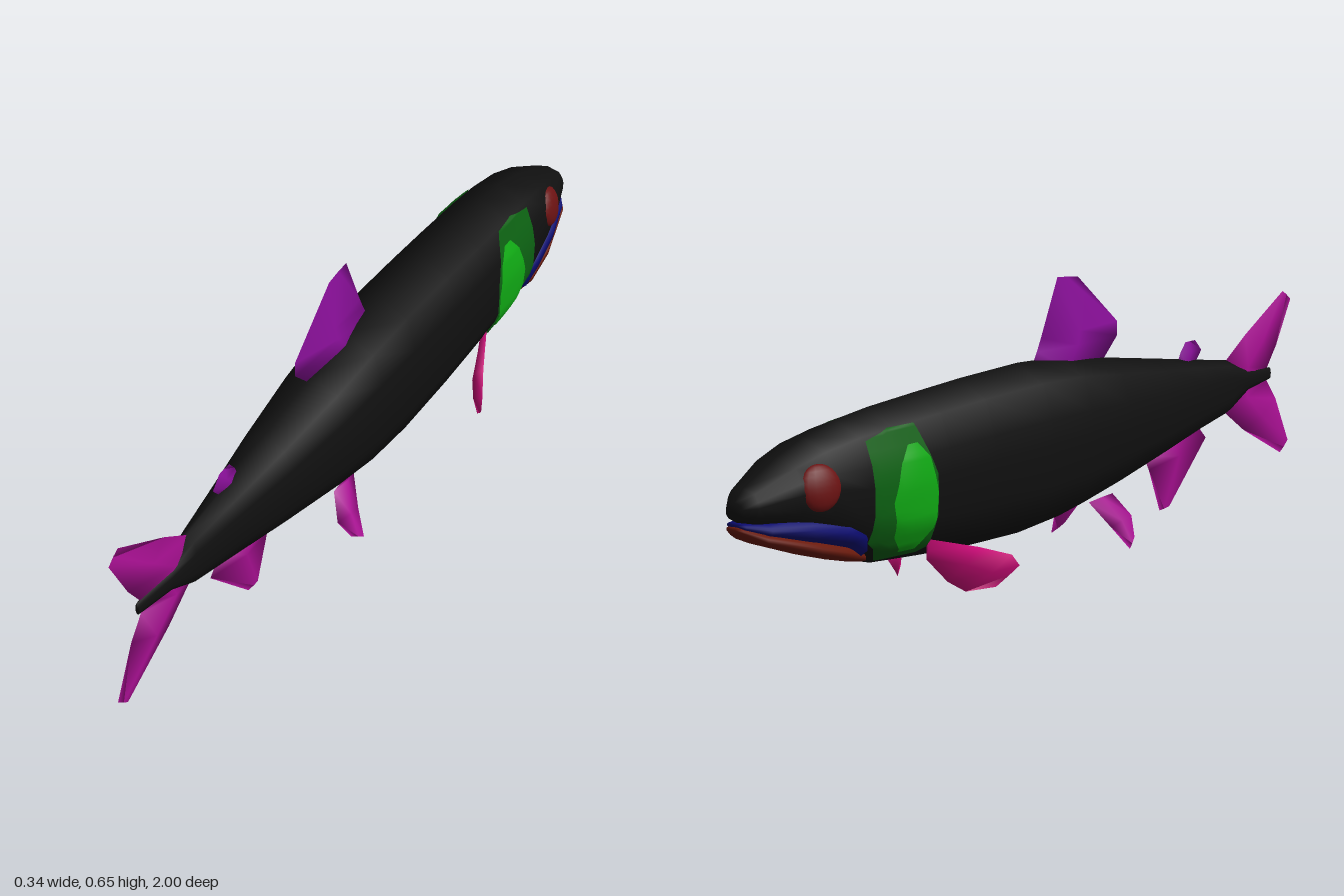
import * as THREE from 'three';

const V = (x, y, z) => new THREE.Vector3(x, y, z);
const lerp = THREE.MathUtils.lerp;

function material(name, color) {
  const m = new THREE.MeshStandardMaterial({ color, side: THREE.DoubleSide });
  m.name = name;
  return m;
}

// Half outline of a body cross-section, from top to bottom, in unit size
const HALF = [[0, 1], [0.71, 0.8], [0.93, 0.4], [1, 0.1], [0.98, -0.4], [0.7, -0.77], [0, -1]];
const RING = [...HALF, ...HALF.slice(1, -1).reverse().map(([x, y]) => [-x, y])];

// Body stations: z, top, bottom, half width
const BODY = [
  [-1, 0.325, 0.285, 0.025], [-0.975, 0.35, 0.272, 0.046], [-0.88, 0.397, 0.245, 0.078],
  [-0.8, 0.425, 0.205, 0.093], [-0.7, 0.447, 0.145, 0.101], [-0.6, 0.457, 0.115, 0.105],
  [-0.45, 0.465, 0.1, 0.107], [-0.3, 0.472, 0.087, 0.107], [-0.1, 0.476, 0.08, 0.107],
  [0.05, 0.467, 0.09, 0.104], [0.2, 0.443, 0.12, 0.096], [0.4, 0.41, 0.16, 0.073],
  [0.58, 0.38, 0.195, 0.046], [0.72, 0.357, 0.222, 0.026], [0.8, 0.325, 0.265, 0.018],
  [0.91, 0.31, 0.28, 0.005],
];

// Closed skin over a row of equal rings, capped at both ends, facing outwards
function loft(rings) {
  const n = rings[0].length, pts = rings.flat(), idx = [];
  const wall = (a, b, c) => idx.push(a, b, c);
  for (let i = 0; i < rings.length - 1; i++) {
    for (let j = 0; j < n; j++) {
      const a = i * n + j, b = i * n + (j + 1) % n;
      wall(a, a + n, b);
      wall(b, a + n, b + n);
    }
  }
  [0, rings.length - 1].forEach((r, end) => {
    const c = pts.length;
    pts.push(rings[r].reduce((s, p) => s.add(p), V(0, 0, 0)).divideScalar(n));
    for (let j = 0; j < n; j++) {
      const a = r * n + j, b = r * n + (j + 1) % n;
      if (end) wall(c, b, a); else wall(c, a, b);
    }
  });
  let volume = 0;
  for (let i = 0; i < idx.length; i += 3) {
    volume += pts[idx[i]].dot(V(0, 0, 0).crossVectors(pts[idx[i + 1]], pts[idx[i + 2]]));
  }
  if (volume < 0) idx.reverse();
  const g = new THREE.BufferGeometry().setFromPoints(pts);
  g.setIndex(idx);
  g.computeVertexNormals();
  return g;
}

const hull = (stations) => loft(stations.map(([z, top, bottom, w]) =>
  RING.map(([x, y]) => V(x * w, (top + bottom) / 2 + y * (top - bottom) / 2, z))));

// Lens-section fin; each station: leading point, trailing point, half thickness
function fin(stations) {
  const last = stations.length - 1;
  const span = stations[last][0].clone().add(stations[last][1])
    .sub(stations[0][0]).sub(stations[0][1]);
  return loft(stations.map(([lead, trail, t]) => {
    const side = trail.clone().sub(lead).cross(span).normalize().multiplyScalar(t);
    const mid = lead.clone().lerp(trail, 0.45);
    return [lead, mid.clone().add(side), trail, mid.clone().sub(side)];
  }));
}

// Half width of the body at a given height and length
function bodyWidth(y, z) {
  let i = 0;
  while (i < BODY.length - 2 && BODY[i + 1][0] < z) i++;
  const k = (z - BODY[i][0]) / (BODY[i + 1][0] - BODY[i][0]);
  const [, top, bottom, w] = BODY[i].map((v, j) => lerp(v, BODY[i + 1][j], k));
  const u = THREE.MathUtils.clamp((2 * y - top - bottom) / (top - bottom), -1, 1);
  let j = 0;
  while (j < HALF.length - 2 && HALF[j + 1][1] > u) j++;
  const f = (u - HALF[j][1]) / (HALF[j + 1][1] - HALF[j][1]);
  return w * lerp(HALF[j][0], HALF[j + 1][0], f);
}

// Thin plate hugging the flank; rows: y, front z, back z
function flankPlate(rows, side, offset, bulge) {
  const cols = 8, steps = 4, count = (rows.length - 1) * steps, pts = [], idx = [];
  for (let r = 0; r <= count; r++) {
    const i = Math.min(Math.floor(r / steps), rows.length - 2), k = r / steps - i;
    const [y, z0, z1] = rows[i].map((v, j) => lerp(v, rows[i + 1][j], k));
    for (let c = 0; c <= cols; c++) {
      const z = lerp(z0, z1, c / cols);
      const swell = bulge * Math.sin(Math.PI * r / count) * Math.sin(Math.PI * c / cols);
      pts.push(V(side * (bodyWidth(y, z) + offset + swell), y, z));
      if (r < count && c < cols) {
        const a = r * (cols + 1) + c, b = a + cols + 1;
        if (side > 0) idx.push(a, b, a + 1, a + 1, b, b + 1);
        else idx.push(a, a + 1, b, a + 1, b + 1, b);
      }
    }
  }
  const g = new THREE.BufferGeometry().setFromPoints(pts);
  g.setIndex(idx);
  g.computeVertexNormals();
  return g;
}

export function createModel() {
  const group = new THREE.Group();
  group.name = 'fish';
  const skin = material('black skin', 0x101010);
  const eyeRed = material('eye red', 0x6a1212);
  const jawRed = material('jaw red', 0x6a1a0c);
  const lipBlue = material('lip blue', 0x0c0c70);
  const gillDark = material('dark green', 0x0c6012);
  const gillLight = material('bright green', 0x10a814);
  const finMagenta = material('fin magenta', 0xa81092);
  const finPurple = material('dorsal purple', 0x8c109c);
  const finPink = material('pectoral pink', 0xcc0c78);

  const add = (name, geometry, mat) => {
    const m = new THREE.Mesh(geometry, mat);
    m.name = name;
    group.add(m);
    return m;
  };
  // Station of an upright fin on the centre line
  const mid = (z0, y0, z1, y1, t) => [V(0, y0, z0), V(0, y1, z1), t];

  add('body', hull(BODY), skin);

  // Mouth
  add('lips', hull([[-0.7, 0.25, 0.145, 0.088], [-0.75, 0.262, 0.18, 0.094],
    [-0.85, 0.28, 0.212, 0.084], [-0.95, 0.28, 0.246, 0.058], [-0.995, 0.282, 0.268, 0.028]]), lipBlue);
  add('lowerJaw', hull([[-0.67, 0.165, 0.135, 0.055], [-0.74, 0.2, 0.152, 0.084],
    [-0.83, 0.226, 0.182, 0.083], [-0.96, 0.262, 0.232, 0.056], [-1, 0.274, 0.26, 0.025]]), jawRed);

  // Fins on the centre line
  add('dorsalFin', fin([mid(-0.05, 0.455, 0.2, 0.42, 0.018), mid(-0.03, 0.49, 0.27, 0.485, 0.014),
    mid(-0.015, 0.52, 0.27, 0.52, 0.011), mid(0.045, 0.653, 0.12, 0.645, 0.001)]), finPurple);
  add('adiposeFin', fin([mid(0.51, 0.375, 0.58, 0.365, 0.008), mid(0.525, 0.405, 0.612, 0.4, 0.006),
    mid(0.545, 0.428, 0.585, 0.428, 0.001)]), finPurple);
  add('analFin', fin([mid(0.38, 0.17, 0.6, 0.21, 0.018), mid(0.4, 0.135, 0.635, 0.175, 0.014),
    mid(0.445, 0.025, 0.485, 0.028, 0.001)]), finMagenta);
  add('tailFin', fin([mid(0.965, 0.078, 1, 0.105, 0.001), mid(0.8, 0.165, 0.94, 0.225, 0.013),
    mid(0.7, 0.235, 0.9, 0.275, 0.018), mid(0.72, 0.292, 0.89, 0.292, 0.004),
    mid(0.7, 0.345, 0.9, 0.312, 0.018), mid(0.8, 0.41, 0.94, 0.365, 0.013),
    mid(0.965, 0.5, 1, 0.475, 0.001)]), finMagenta);

  // Paired parts
  for (const s of [1, -1]) {
    const side = s > 0 ? 'left' : 'right';
    add(side + 'GillPlate', flankPlate([[0.125, -0.61, -0.5], [0.19, -0.695, -0.5],
      [0.31, -0.695, -0.5], [0.41, -0.695, -0.538], [0.425, -0.62, -0.545]], s, 0.006, 0), gillDark);
    add(side + 'GillPatch', flankPlate([[0.148, -0.59, -0.545], [0.19, -0.625, -0.507],
      [0.27, -0.64, -0.502], [0.35, -0.61, -0.52], [0.385, -0.58, -0.55]], s, 0.008, 0.006), gillLight);

    const eye = add(side + 'Eye', new THREE.SphereGeometry(1, 16, 12), eyeRed);
    eye.scale.set(0.022, 0.05, 0.052);
    eye.position.set(s * 0.075, 0.335, -0.83);
    eye.rotation.set(0, s * 0.2, s * 0.2);

    add(side + 'PectoralFin', fin([
      [V(s * 0.08, 0.16, -0.5), V(s * 0.065, 0.11, -0.49), 0.008],
      [V(s * 0.13, 0.128, -0.39), V(s * 0.078, 0.05, -0.435), 0.01],
      [V(s * 0.165, 0.102, -0.32), V(s * 0.1, 0.024, -0.4), 0.007],
      [V(s * 0.172, 0.075, -0.302), V(s * 0.14, 0.03, -0.345), 0.001]]), finPink);
    add(side + 'PelvicFin', fin([
      [V(s * 0.05, 0.12, 0.1), V(s * 0.05, 0.125, 0.19), 0.009],
      [V(s * 0.085, 0.058, 0.14), V(s * 0.08, 0.07, 0.225), 0.007],
      [V(s * 0.118, 0.005, 0.17), V(s * 0.105, 0.025, 0.205), 0.001]]), finMagenta);
  }
  return group;
}
